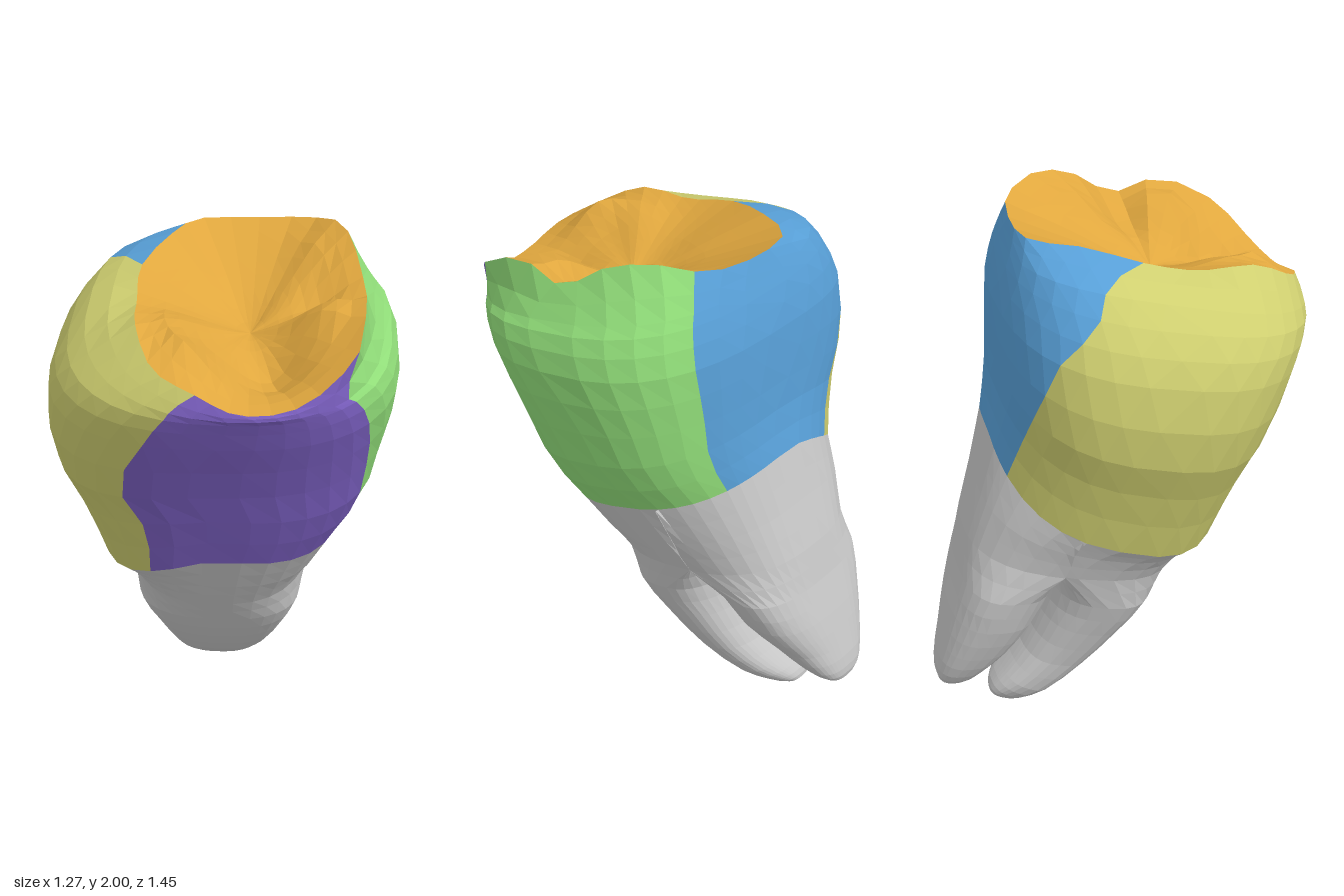
import * as THREE from 'three';

const material = (name, color) => {
  const m = new THREE.MeshStandardMaterial({ color, flatShading: true });
  m.name = name;
  return m;
};
const { degToRad, lerp, clamp } = THREE.MathUtils;
const softPow = (t, e) => Math.sign(t) * Math.abs(t) ** e;

// Grid surface from f(i, v); outward when columns turn from +x to +z and v rises
function surface(f, nu, nv) {
  const pos = [], index = [];
  for (let j = 0; j <= nv; j++)
    for (let i = 0; i <= nu; i++) pos.push(...f(i, j / nv).toArray());
  for (let j = 0; j < nv; j++)
    for (let i = 0; i < nu; i++) {
      const a = j * (nu + 1) + i, b = a + nu + 1;
      index.push(a, b, b + 1, a, b + 1, a + 1);
    }
  const g = new THREE.BufferGeometry();
  g.setAttribute('position', new THREE.Float32BufferAttribute(pos, 3));
  g.setIndex(index);
  g.computeVertexNormals();
  return g;
}

// Tilted ring, flatter at the back, optionally cut to a part of its depth (0 back, 1 front):
// [front z, front y, back z, back y, min x, max x, dip at min x, dip at max x]
function ringPoint([zf, yf, zb, yb, x0, x1, dip0 = 0, dip1 = 0], deg, from = 0, to = 1) {
  const c = Math.cos(degToRad(deg)), s = Math.sin(degToRad(deg)), e = s < 0 ? 0.72 : 0.8;
  const t = clamp((1 + softPow(s, e)) / 2, from, to);
  return new THREE.Vector3(
    (x0 + x1) / 2 + softPow(c, e) * (x1 - x0) / 2,
    lerp(yb, yf, t) - dip0 * Math.max(0, -c) - dip1 * Math.max(0, c),
    lerp(zb, zf, t));
}

// Interpolate a list of values over v = 0..1
function sample(list, v) {
  const s = v * (list.length - 1), i = Math.min(Math.floor(s), list.length - 2);
  return lerp(list[i], list[i + 1], s - i);
}

const neck = [0.38, 0.88, -0.47, 1.19, -0.47, 0.45, 0.2, 0.06];
const crownRings = [
  neck,
  [0.465, 1.06, -0.44, 1.33, -0.54, 0.545, 0.13, 0.04],
  [0.56, 1.27, -0.43, 1.50, -0.63, 0.60, 0.09],
  [0.66, 1.47, -0.42, 1.68, -0.625, 0.63, 0.02],
  [0.71, 1.58, -0.39, 1.81, -0.56, 0.605],
  [0.725, 1.61, -0.365, 1.88, -0.45, 0.56, -0.06],
];

// Wavy rim of the chewing surface, every 22.5 degrees from +x towards the front
const rim = new THREE.CatmullRomCurve3([
  [0.50, 1.85, 0.15], [0.50, 1.89, 0.33], [0.48, 1.79, 0.55], [0.30, 1.65, 0.68],
  [0.10, 1.63, 0.72], [-0.05, 1.69, 0.70], [-0.19, 1.74, 0.63], [-0.27, 1.83, 0.46],
  [-0.29, 1.84, 0.25], [-0.30, 1.89, 0.06], [-0.22, 1.94, -0.14], [-0.13, 1.95, -0.31],
  [0.06, 1.95, -0.34], [0.28, 1.97, -0.30], [0.40, 2.00, -0.16], [0.46, 1.95, 0.00],
].map((p) => new THREE.Vector3(...p)), true);
const rimPoint = (deg) => rim.getPoint((((deg % 360) + 360) % 360) / 360);

function crownPoint(deg, v) {
  const pts = crownRings.map((r) => ringPoint(r, deg));
  return new THREE.CatmullRomCurve3([...pts, rimPoint(deg)]).getPoint(v);
}

// Panel edges as angles from neck to rim
const frontLeft = [23, 27, 31, 37, 41, 43, 44];
const frontRight = [117, 112, 117, 107, 103, 106, 112];
const backRight = [246, 242, 236, 224, 209, 204, 204];
const backLeft = [304, 303, 302, 302, 301, 299, 297];
const panels = [
  ['leftSide', backLeft.map((a) => a - 360), frontLeft, 8, material('green', 0x92df7a)],
  ['frontSide', frontLeft, frontRight, 8, material('purple', 0x7d61c4)],
  ['rightSide', frontRight, backRight, 10, material('yellow', 0xcfcf70)],
  ['backSide', backRight, backLeft, 8, material('blue', 0x58a0d8)],
];
const panelAngle = ([, from, to, count], i, v) =>
  lerp(sample(from, v), sample(to, v), i / count);

// All column angles around the crown at height v, so neighbours share their corners
function columnAngles(v) {
  const list = panels.flatMap((p) =>
    Array.from({ length: p[3] }, (_, i) => panelAngle(p, i, v)));
  return [...list, list[0] + 360];
}

// Cusps, ridges and pits: [x, z, height, radius]
const bumps = [
  [-0.12, 0.56, 0.09, 0.11], [-0.13, 0.38, 0.03, 0.12], [0.35, 0.32, 0.05, 0.11],
  [0.20, 0.46, -0.06, 0.10], [0.06, 0.10, -0.02, 0.10], [0.33, 0.12, -0.03, 0.08],
  [0.30, -0.12, 0.02, 0.12],
];
const rimAngles = columnAngles(1);
function chewingPoint(i, v) {
  const p = rimPoint(rimAngles[i]), s = 1 - v;
  const x = lerp(0.1, p.x, s), z = lerp(0.19, p.z, s);
  let y = lerp(1.71, p.y, s ** 1.1);
  for (const [bx, bz, h, r] of bumps)
    y += h * Math.min(1, v * 4) * Math.exp(-((x - bx) ** 2 + (z - bz) ** 2) / (r * r));
  return new THREE.Vector3(x, y, z);
}

// Trunk below the neck, shared by both roots: [ring, depth at which the roots divide]
const trunk = [
  [neck, 0.30],
  [[0.29, 0.72, -0.525, 0.98, -0.43, 0.38, 0.06, 0.03], 0.35],
  [[0.21, 0.59, -0.58, 0.79, -0.385, 0.32], 0.40],
];

// Root: its part of the trunk, then its own rings down to the tip
function root(isFront, rings, nv) {
  const angles = columnAngles(0);
  const cols = angles.map((a) => new THREE.CatmullRomCurve3([
    ...trunk.map(([r, cut]) => isFront ? ringPoint(r, a, cut, 1) : ringPoint(r, a, 0, cut)),
    ...rings.map((r) => ringPoint(r, a)),
  ]));
  return surface((i, v) => cols[i].getPoint(1 - v), angles.length - 1, nv);
}

export function createModel() {
  const tooth = new THREE.Group();
  tooth.name = 'molar';
  const add = (name, geometry, mat) => {
    const mesh = new THREE.Mesh(geometry, mat);
    mesh.name = name;
    tooth.add(mesh);
  };

  // Crown sides
  for (const p of panels)
    add(p[0], surface((i, v) => crownPoint(panelAngle(p, i, v), v), p[3], 10), p[4]);

  // Chewing surface
  add('chewingSurface', surface(chewingPoint, rimAngles.length - 1, 8),
    material('orange', 0xe0a73e));

  // Front root, curving backwards
  const bone = material('grey', 0xc8c8c8);
  add('frontRoot', root(true, [
    [0.13, 0.47, -0.28, 0.56, -0.35, 0.285],
    [0.02, 0.32, -0.31, 0.42, -0.30, 0.23],
    [-0.12, 0.17, -0.38, 0.25, -0.25, 0.16],
    [-0.28, 0.05, -0.46, 0.14, -0.22, 0.08],
    [-0.38, 0.01, -0.505, 0.08, -0.18, 0.01],
    [-0.44, 0.00, -0.515, 0.04, -0.14, -0.04],
    [-0.48, 0.01, -0.48, 0.01, -0.09, -0.09],
  ], 18), bone);

  // Back root
  add('backRoot', root(false, [
    [-0.265, 0.58, -0.615, 0.63, -0.36, 0.26],
    [-0.33, 0.45, -0.66, 0.48, -0.33, 0.20],
    [-0.43, 0.31, -0.70, 0.33, -0.28, 0.10],
    [-0.53, 0.21, -0.725, 0.22, -0.23, 0.03],
    [-0.60, 0.15, -0.72, 0.16, -0.18, -0.03],
    [-0.67, 0.13, -0.67, 0.13, -0.10, -0.10],
  ], 16), bone);

  return tooth;
}
